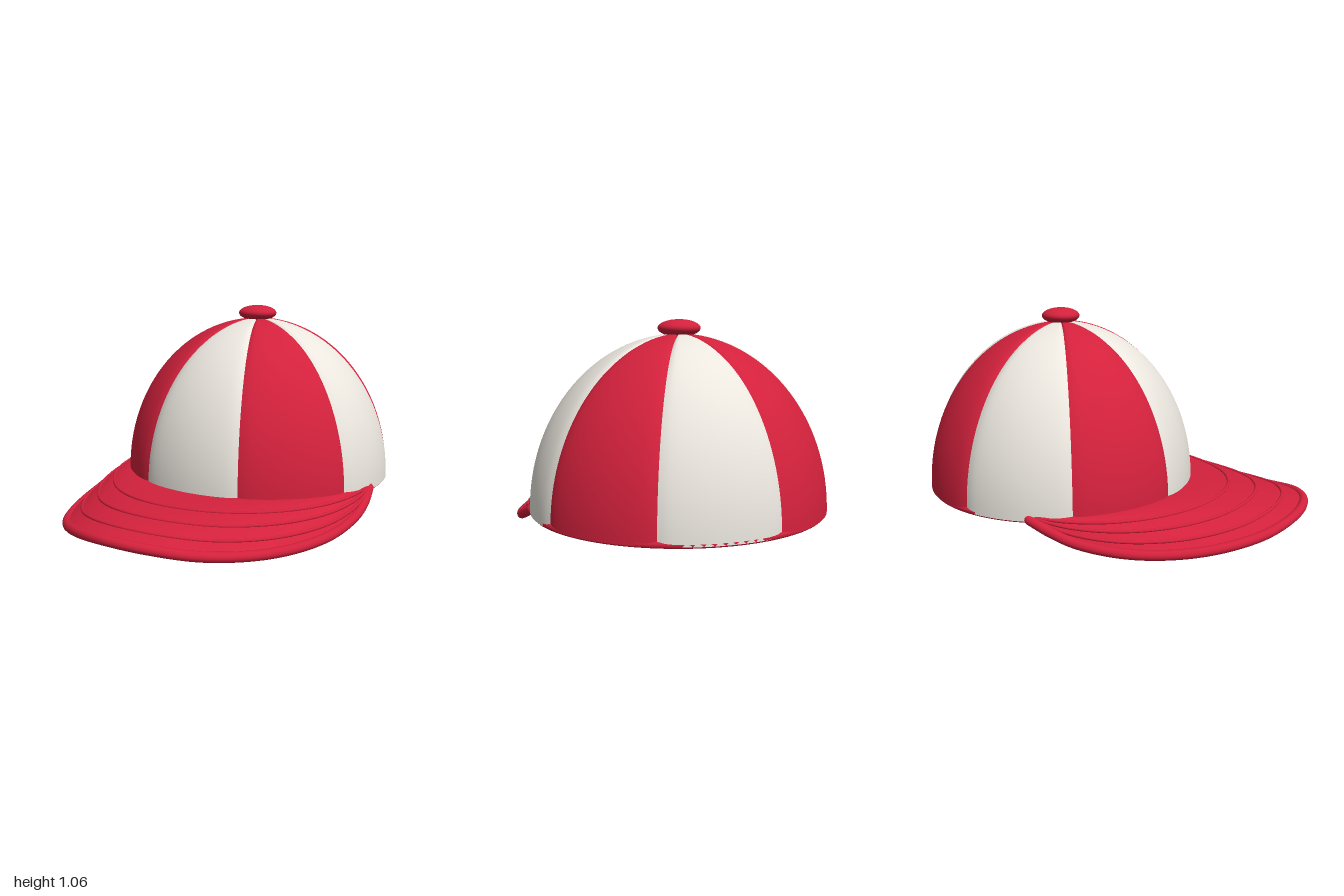
import * as THREE from 'three';

const RED = 0xd3213c, WHITE = 0xebe7df;
const CZ = -0.305, BASE = 0.148, RX = 0.725, RZ = 0.692, H = 0.842;

const material = (color, side = THREE.FrontSide) => new THREE.MeshStandardMaterial({ color, side, roughness: 0.8 });

function add(group, name, geometry, mat) {
  const mesh = new THREE.Mesh(geometry, mat);
  mesh.name = name;
  group.add(mesh);
  return mesh;
}

// Smooth surface from a rule fn(u, v) -> Vector3, u and v in 0..1
function surface(fn, nu, nv) {
  const pos = [], index = [];
  for (let j = 0; j <= nv; j++)
    for (let i = 0; i <= nu; i++) pos.push(...fn(i / nu, j / nv).toArray());
  for (let j = 0; j < nv; j++)
    for (let i = 0; i < nu; i++) {
      const a = j * (nu + 1) + i, b = a + 1, c = a + nu + 1, d = c + 1;
      index.push(a, b, d, a, d, c);
    }
  const g = new THREE.BufferGeometry();
  g.setAttribute('position', new THREE.Float32BufferAttribute(pos, 3));
  g.setIndex(index);
  g.computeVertexNormals();
  return g;
}

// Point on the crown: angle from the front, elevation 0..PI/2, scale of the shell
function crownPoint(angle, elev, scale = 1) {
  const c = Math.cos(elev) * scale;
  return new THREE.Vector3(
    RX * c * Math.sin(angle),
    BASE + H * Math.sin(elev) * scale,
    CZ + RZ * c * Math.cos(angle));
}

function tube(fn, radius, segments, closed = false) {
  const pts = [];
  const n = closed ? segments - 1 : segments;
  for (let i = 0; i <= n; i++) pts.push(fn(i / segments));
  return new THREE.TubeGeometry(new THREE.CatmullRomCurve3(pts, closed), segments, radius, 10, closed);
}

function createCrown(red, white) {
  const crown = new THREE.Group();
  crown.name = 'crown';
  const step = Math.PI / 4;
  // Eight gores, each slightly puffed between its seams
  for (let k = 0; k < 8; k++) {
    const gore = surface((u, v) => {
      const puff = 1 - 0.012 * Math.pow(Math.abs(2 * u - 1), 10);
      return crownPoint((k - 0.5 + u) * step, v * Math.PI / 2, puff);
    }, 24, 32);
    add(crown, 'panel' + (k + 1), gore, k % 2 ? red : white);
    // Seam tape on the inside
    add(crown, 'innerSeam' + (k + 1),
      tube(t => crownPoint((k - 0.5) * step, t * 1.5, 0.968), 0.006, 24), red);
  }
  // Lining, sweatband edge and top button
  add(crown, 'lining', surface((u, v) => crownPoint(-u * Math.PI * 2, v * Math.PI / 2, 0.968), 96, 32), red);
  add(crown, 'rim', tube(t => {
    const p = crownPoint(t * Math.PI * 2, 0, 0.978);
    p.y = 0.154;
    return p;
  }, 0.016, 96, true), red);
  const button = add(crown, 'button', new THREE.SphereGeometry(1, 40, 24), red);
  button.scale.set(0.104, 0.042, 0.097);
  button.position.set(0, 1.016, CZ);
  return crown;
}

function createBrim(red) {
  const brim = new THREE.Group();
  brim.name = 'brim';
  // Outer edge, half outline mirrored across x
  const half = [
    [0.712, 0.155, -0.235], [0.735, 0.115, -0.13], [0.742, 0.073, 0], [0.72, 0.04, 0.2],
    [0.655, 0.026, 0.4], [0.55, 0.03, 0.6], [0.39, 0.055, 0.8], [0.2, 0.09, 0.93],
  ].map(p => new THREE.Vector3(...p));
  const mirrored = half.map(p => new THREE.Vector3(-p.x, p.y, p.z)).reverse();
  const edge = new THREE.CatmullRomCurve3([...half, new THREE.Vector3(0, 0.105, 0.974), ...mirrored]);
  edge.arcLengthDivisions = 400;

  // u runs along the brim from left to right, t from the crown to the edge
  const brimPoint = (u, t, lift = 0) => {
    const inner = crownPoint((0.5 - u) * 2 * 1.47, 0, 0.982);
    inner.y = 0.17;
    const outer = edge.getPointAt(u);
    const p = inner.clone().lerp(outer, t);
    p.y = inner.y + (outer.y + 0.01 - inner.y) * Math.pow(t, 1.7) + lift;
    return p;
  };

  add(brim, 'brimTop', surface((u, t) => brimPoint(u, t), 96, 20), red);
  add(brim, 'brimUnderside', surface((u, t) => brimPoint(u, 1 - t, -0.022), 96, 20), red);
  add(brim, 'brimPiping', new THREE.TubeGeometry(edge, 128, 0.024, 12), red);
  // Rounded ends of the piping
  for (const u of [0, 1]) {
    const cap = add(brim, 'pipingEnd', new THREE.SphereGeometry(0.024, 16, 12), red);
    cap.position.copy(edge.getPointAt(u));
  }
  // Raised rows of stitching
  [0.36, 0.6, 0.82].forEach((t, i) =>
    add(brim, 'stitchRow' + (i + 1), tube(u => brimPoint(u, t, 0.001), 0.008, 96), red));
  return brim;
}

export function createModel() {
  const model = new THREE.Group();
  model.name = 'cap';
  const red = material(RED, THREE.DoubleSide), white = material(WHITE);
  model.add(createCrown(red, white), createBrim(red));
  return model;
}
